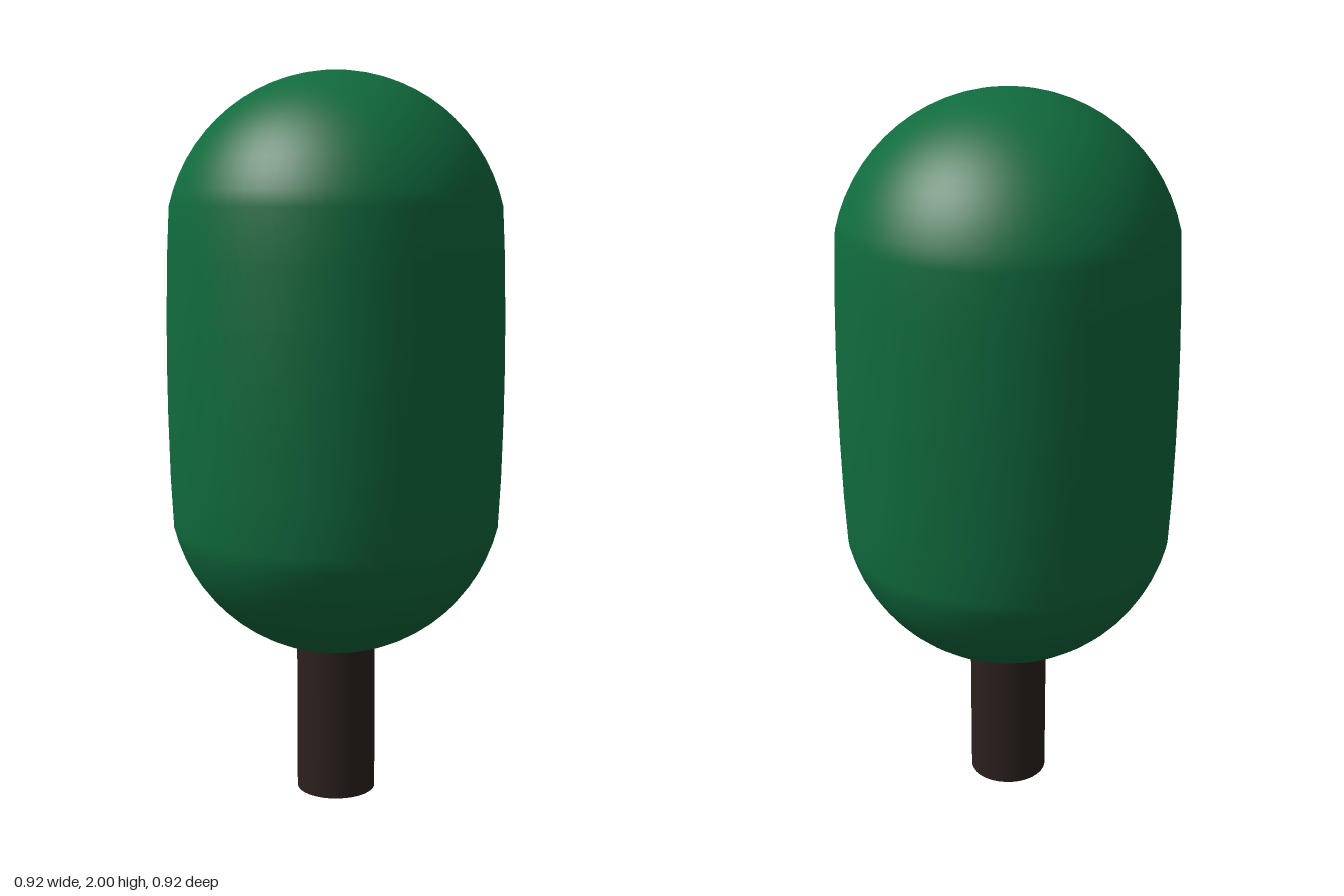
import * as THREE from 'three';

export function createModel() {
  const tree = new THREE.Group();
  tree.name = 'tree';

  // Canopy: two round caps joined by a very slightly bulging side
  const radius = 0.462, middle = 1.205, capCentre = 0.333;
  const half = [];
  for (let i = 0; i <= 14; i++) {
    const a = THREE.MathUtils.degToRad(90 - (i / 14) * 77);
    half.push([radius * Math.cos(a), capCentre + radius * Math.sin(a)]);
  }
  half[0][0] = 0;
  half.push([0.457, 0.3], [0.461, 0.13]);
  const profile = [
    ...half.map(([r, y]) => new THREE.Vector2(r, middle - y)),
    new THREE.Vector2(radius, middle),
    ...half.map(([r, y]) => new THREE.Vector2(r, middle + y)).reverse(),
  ];
  const canopy = new THREE.Mesh(
    new THREE.LatheGeometry(profile, 64),
    new THREE.MeshStandardMaterial({ color: 0x106b3e })
  );
  canopy.name = 'canopy';
  tree.add(canopy);

  // Trunk: plain cylinder running up into the canopy
  const trunkHeight = 0.55;
  const trunk = new THREE.Mesh(
    new THREE.CylinderGeometry(0.11, 0.11, trunkHeight, 32),
    new THREE.MeshStandardMaterial({ color: 0x2c211e })
  );
  trunk.name = 'trunk';
  trunk.position.y = trunkHeight / 2;
  tree.add(trunk);

  return tree;
}
